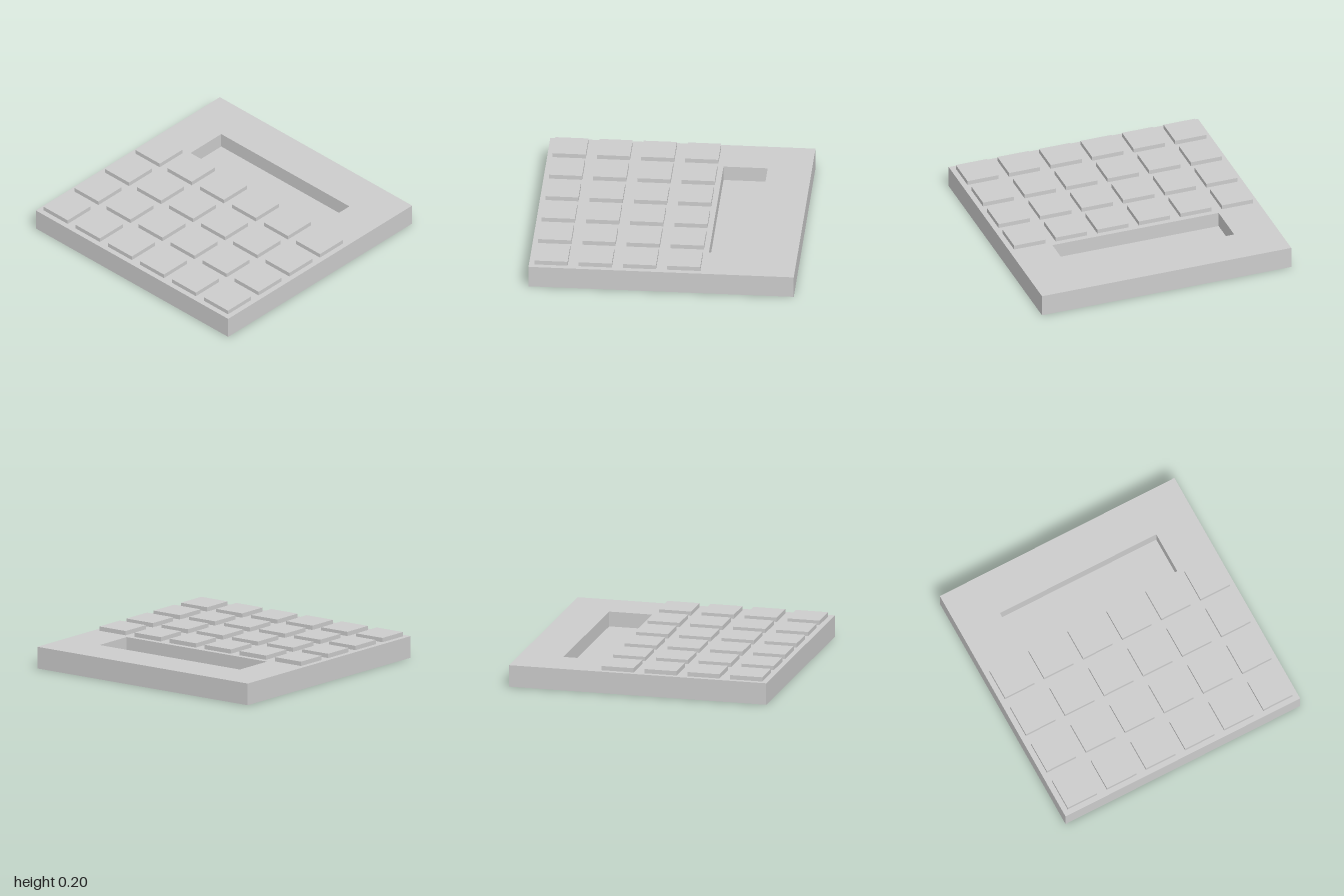
import * as THREE from 'three';

const U = 1 / 3;              // key spacing
const TOP = 0.167;            // height of the top plate
const KEY_SIZE = 0.25, KEY_H = 0.033;
const RECESS = { w: 4 * U, d: U, z: -0.5, depth: 0.115 };

const material = new THREE.MeshStandardMaterial({
  color: 0xcccccc, flatShading: true, side: THREE.DoubleSide,
});

// Box standing on y = 0 with chosen faces left out (2 = top, 3 = bottom)
function openBox(w, h, d, omit) {
  const geometry = new THREE.BoxGeometry(w, h, d).translate(0, h / 2, 0);
  const index = Array.from(geometry.index.array);
  geometry.setIndex(index.filter((_, i) => !omit.includes(Math.floor(i / 6))));
  geometry.clearGroups();
  return geometry;
}

// Outline of a rectangle centred on (0, y)
function rectangle(Type, w, h, y = 0) {
  return new Type([
    new THREE.Vector2(-w / 2, y - h / 2), new THREE.Vector2(w / 2, y - h / 2),
    new THREE.Vector2(w / 2, y + h / 2), new THREE.Vector2(-w / 2, y + h / 2),
  ]);
}

export function createModel() {
  const model = new THREE.Group();
  model.name = 'calculator';

  const add = (name, geometry, parent = model) => {
    const mesh = new THREE.Mesh(geometry, material);
    mesh.name = name;
    parent.add(mesh);
    return mesh;
  };

  // Thin case, open underneath
  add('caseWalls', openBox(2, TOP, 2, [2, 3]));

  // Top plate with the display opening
  const plate = rectangle(THREE.Shape, 2, 2);
  plate.holes.push(rectangle(THREE.Path, RECESS.w, RECESS.d, -RECESS.z));
  add('topPlate', new THREE.ShapeGeometry(plate).rotateX(-Math.PI / 2)).position.y = TOP;

  // Sunken display tray, hanging inside the case
  add('displayRecess', openBox(RECESS.w, RECESS.depth, RECESS.d, [2]))
    .position.set(0, TOP - RECESS.depth, RECESS.z);

  // Four rows of six square keys
  const keys = new THREE.Group();
  keys.name = 'keys';
  model.add(keys);
  const keyGeometry = openBox(KEY_SIZE, KEY_H, KEY_SIZE, [3]);
  for (let row = 0; row < 4; row++) {
    for (let col = 0; col < 6; col++) {
      add('key', keyGeometry, keys).position.set((col - 2.5) * U, TOP, (row - 0.5) * U);
    }
  }

  return model;
}
